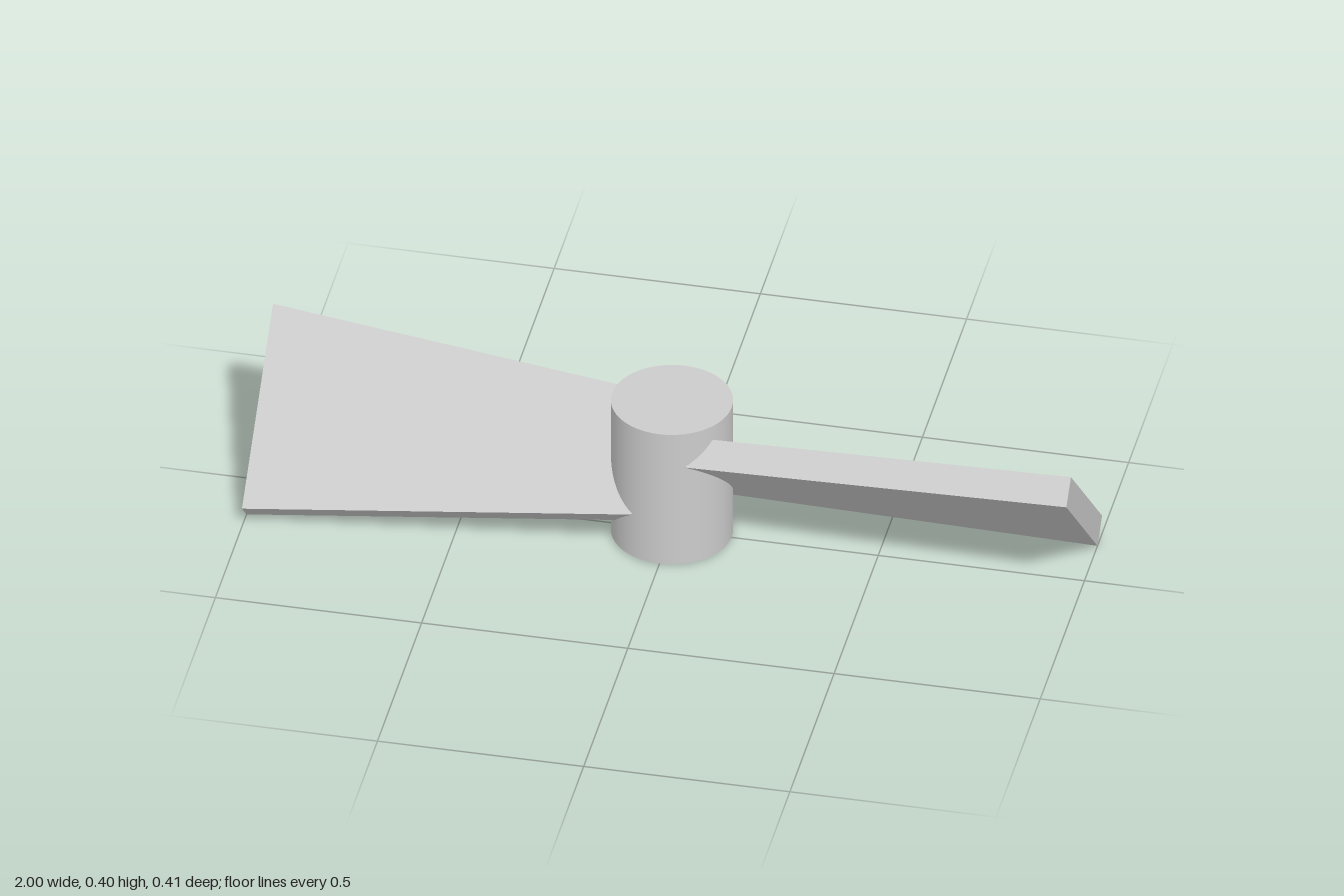
import * as THREE from 'three';

const material = new THREE.MeshStandardMaterial({ color: 0xcccccc });

// Flat plank running from the hub axis to x = 1, widening towards the tip
function bladeGeometry(rootWidth, tipWidth, thickness) {
  const geometry = new THREE.BoxGeometry(1, thickness, 1).translate(0.5, 0, 0);
  const pos = geometry.attributes.position;
  for (let i = 0; i < pos.count; i++) {
    pos.setZ(i, pos.getZ(i) * THREE.MathUtils.lerp(rootWidth, tipWidth, pos.getX(i)));
  }
  const flat = geometry.toNonIndexed();
  flat.computeVertexNormals();
  return flat;
}

export function createModel() {
  const group = new THREE.Group();
  group.name = 'propeller';

  // Central hub
  const hub = new THREE.Mesh(new THREE.CylinderGeometry(0.145, 0.145, 0.374, 64), material);
  hub.name = 'hub';
  hub.position.y = 0.19;
  group.add(hub);

  // Two blades pitched at 45 degrees, half a turn apart
  const geometry = bladeGeometry(0.283, 0.498, 0.0735);
  ['leftBlade', 'rightBlade'].forEach((name, i) => {
    const blade = new THREE.Mesh(geometry, material);
    blade.rotation.x = -Math.PI / 4;
    blade.position.set(0, 0.2025, 0.0025);
    const arm = new THREE.Group();
    arm.name = name;
    arm.rotation.y = i * Math.PI;
    arm.add(blade);
    group.add(arm);
  });

  return group;
}
